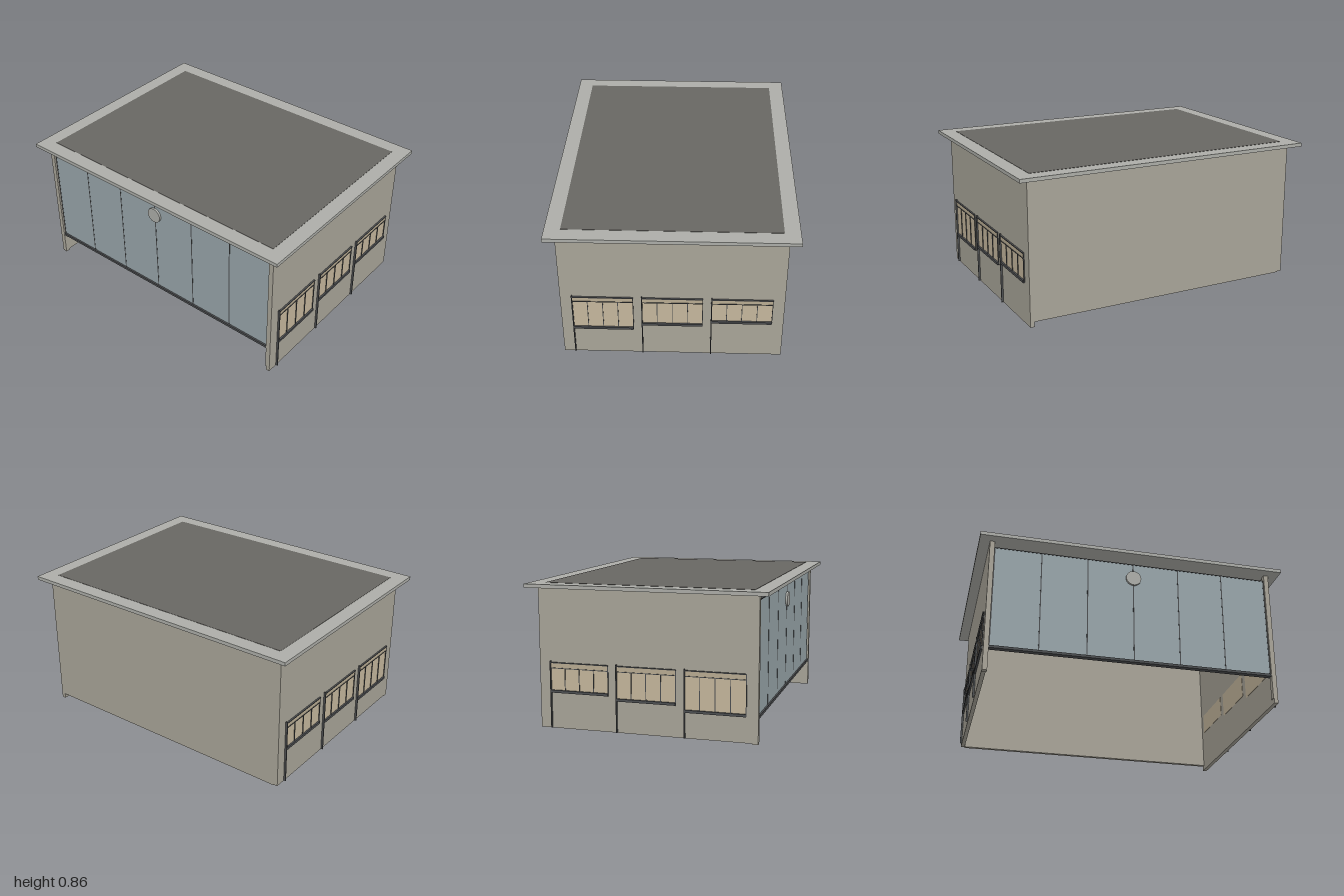
import * as THREE from 'three';

const W = 0.842, D = 0.626, TOP = 0.835, T = 0.024; // half width, half depth, wall top, wall thickness

const mat = (color) => new THREE.MeshStandardMaterial({ color });
const wallMat = mat(0xa8a498), glassMat = mat(0x98a5a9), darkMat = mat(0x4c4e50);
const rimMat = mat(0xacada8), roofMat = mat(0x686662), paneMat = mat(0xc4b69c), headMat = mat(0xb8ab92);

// Box given by its lower and upper limits on each axis
function box(parent, name, material, x0, x1, y0, y1, z0, z1) {
  const mesh = new THREE.Mesh(new THREE.BoxGeometry(x1 - x0, y1 - y0, z1 - z0), material);
  mesh.position.set((x0 + x1) / 2, (y0 + y1) / 2, (z0 + z1) / 2);
  mesh.name = name;
  parent.add(mesh);
  return mesh;
}

// Four-pane window with header, sill and a thin fin; side is +1 or -1 along x
function sideWindow(side, zc, bottom, wallBottom) {
  const g = new THREE.Group();
  g.name = 'sideWindow';
  const half = 0.17, top = 0.41, head = 0.38;
  const part = (name, m, inner, outer, y0, y1, z0, z1) => {
    const a = side * (W + inner), b = side * (W + outer);
    box(g, name, m, Math.min(a, b), Math.max(a, b), y0, y1, z0, z1);
  };
  part('windowPanes', paneMat, -T - 0.002, 0.002, bottom + 0.015, head, zc - half, zc + half);
  part('windowHeader', headMat, 0, 0.005, head, top, zc - half, zc + half);
  part('headerLine', darkMat, 0, 0.008, head - 0.002, head + 0.002, zc - half, zc + half);
  part('topTrim', darkMat, 0, 0.01, top - 0.002, top + 0.003, zc - half, zc + half);
  part('windowSill', darkMat, 0, 0.012, bottom, bottom + 0.015, zc - half, zc + half);
  for (let i = 1; i <= 4; i++) {
    const z = zc - side * half + side * i * half / 2 - (i === 4 ? side * 0.002 : 0);
    if (i < 4) part('windowMullion', darkMat, 0, 0.006, bottom + 0.015, head, z - 0.002, z + 0.002);
  }
  const zf = zc + side * half, ze = zc - side * half;
  part('windowFin', darkMat, 0, 0.012, wallBottom, top + 0.01, zf - 0.003, zf + 0.003);
  part('windowEdge', darkMat, 0, 0.006, bottom, top, ze - 0.002, ze + 0.002);
  return g;
}

export function createModel() {
  const model = new THREE.Group();
  model.name = 'building';
  const body = new THREE.Group();
  body.name = 'buildingBody';
  body.rotation.y = 0.157;
  model.add(body);

  // Walls, open at the bottom and around the glazed front
  box(body, 'leftWall', wallMat, W - T, W, 0, TOP, -D, D - 0.001);
  box(body, 'rightWall', wallMat, -W, -W + T, 0.035, TOP, -D, D - 0.001);
  box(body, 'backWall', wallMat, -W + T, W - T, 0.03, TOP, -D, -D + T);
  for (const s of [-1, 1]) {
    const x0 = s > 0 ? W - 0.028 : -W;
    box(body, 'cornerPost', wallMat, x0, x0 + 0.028, 0.03, TOP, D - 0.03, D);
  }

  // Glazed front with six panels
  const gx = W - 0.028, gz = D - 0.012;
  box(body, 'frontGlass', glassMat, -gx, gx, 0.175, 0.8, gz - 0.008, gz);
  box(body, 'frontBottomRail', darkMat, -gx, gx, 0.165, 0.18, gz - 0.02, gz + 0.01);
  box(body, 'frontTopRail', darkMat, -gx, gx, 0.797, 0.802, gz - 0.015, gz + 0.002);
  for (let i = 0; i <= 6; i++) {
    const x = -gx + 0.003 + (i / 6) * (2 * gx - 0.006);
    box(body, 'frontMullion', darkMat, x - 0.003, x + 0.003, 0.175, 0.8, gz - 0.022, gz + 0.001);
  }

  // Round disc on the front
  const disc = new THREE.Mesh(new THREE.CylinderGeometry(0.045, 0.045, 0.012, 32), rimMat);
  disc.name = 'frontDisc';
  disc.rotation.x = Math.PI / 2;
  disc.position.set(0, 0.705, gz + 0.006);
  body.add(disc);

  // Windows step up towards the back
  const bottoms = [0.18, 0.215, 0.24];
  for (const side of [-1, 1]) {
    bottoms.forEach((b, i) => body.add(sideWindow(side, 0.39 * (1 - i), b, side > 0 ? 0.002 : 0.037)));
  }

  // Flat overhanging roof with a darker field
  box(body, 'roofSlab', rimMat, -0.903, 0.903, 0.833, 0.854, -0.683, 0.683);
  box(body, 'roofField', roofMat, -0.815, 0.815, 0.85, 0.8555, -0.595, 0.595);
  return model;
}
